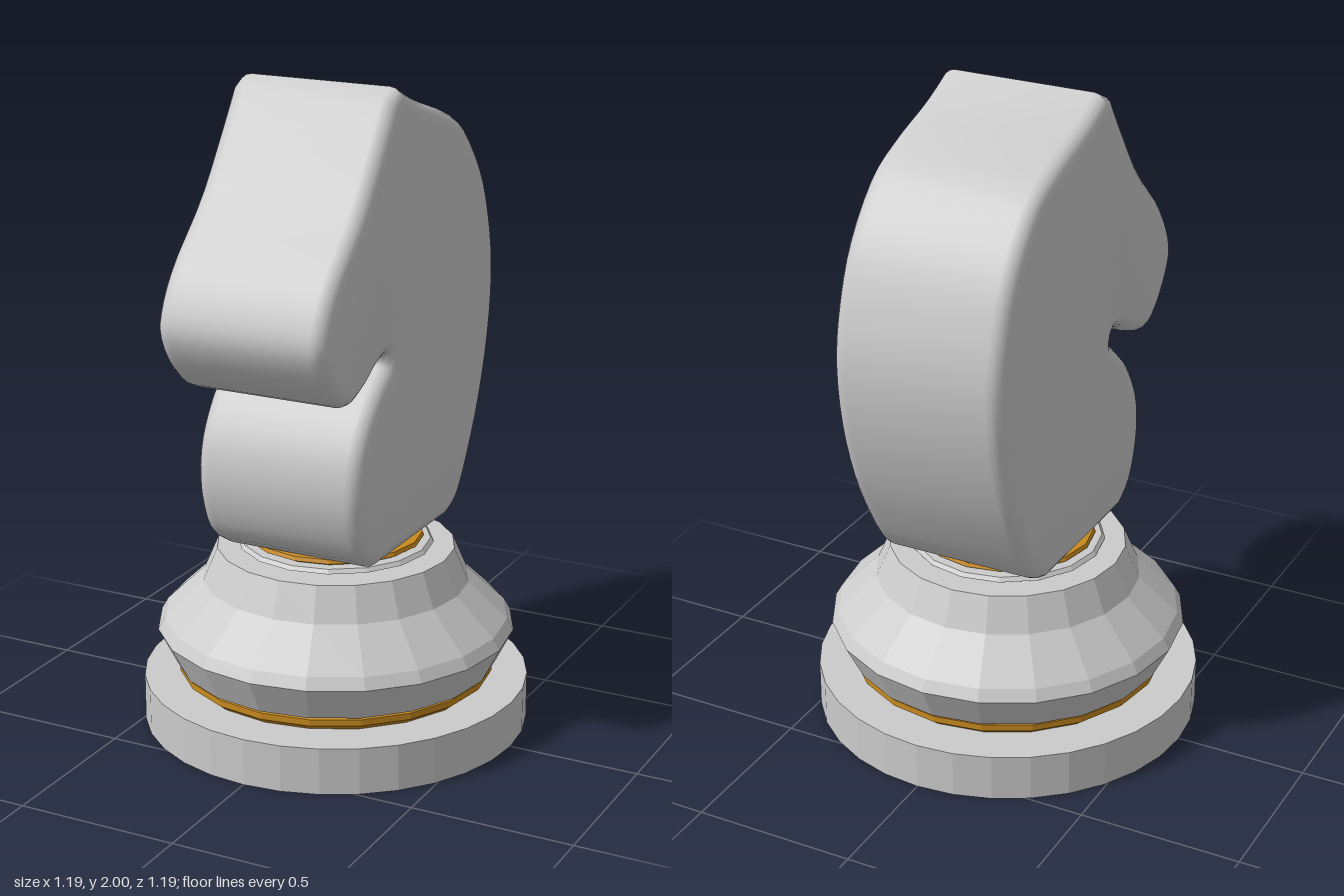
import * as THREE from 'three';
import { toCreasedNormals } from 'three/addons/utils/BufferGeometryUtils.js';

const grey = new THREE.MeshStandardMaterial({ color: 0xcccccc });
const greyFlat = new THREE.MeshStandardMaterial({ color: 0xcccccc, flatShading: true });
const gold = new THREE.MeshStandardMaterial({ color: 0xc88a1e, flatShading: true });

// Turned part from [radius, height] pairs, listed bottom to top
function turned(name, profile, sides, material) {
  const points = profile.map(([r, y]) => new THREE.Vector2(r, y));
  const mesh = new THREE.Mesh(new THREE.LatheGeometry(points, sides), material);
  mesh.name = name;
  return mesh;
}

// Horse head: side outline in (z, y), extruded across x with rounded edges
function horseHead() {
  const back = [
    [0.10, 2.0], [-0.02, 1.945], [-0.2, 1.885], [-0.34, 1.815], [-0.47, 1.665], [-0.54, 1.5],
    [-0.57, 1.33], [-0.55, 1.13], [-0.485, 0.92], [-0.39, 0.735], [-0.32, 0.64], [-0.25, 0.605],
  ];
  const chest = [
    [0.25, 0.605], [0.335, 0.67], [0.385, 0.81], [0.375, 0.95], [0.31, 1.07], [0.22, 1.16],
    [0.17, 1.2], [0.185, 1.235], [0.25, 1.215], [0.33, 1.17], [0.43, 1.145], [0.525, 1.21],
    [0.593, 1.32], [0.585, 1.41], [0.51, 1.53], [0.35, 1.69], [0.22, 1.87], [0.15, 1.975],
  ];
  const vectors = (list) => list.map(([z, y]) => new THREE.Vector2(z, y));
  const shape = new THREE.Shape();
  shape.moveTo(...back[0]);
  shape.splineThru(vectors(back.slice(1)));
  shape.lineTo(...chest[0]);
  shape.splineThru(vectors(chest.slice(1)));
  shape.closePath();

  const width = 0.535, bevel = 0.045;
  const geometry = new THREE.ExtrudeGeometry(shape, {
    depth: width - 2 * bevel, curveSegments: 3,
    bevelThickness: bevel, bevelSize: bevel, bevelOffset: -bevel, bevelSegments: 4,
  });
  geometry.translate(0, 0, bevel - width / 2);
  geometry.rotateY(-Math.PI / 2);
  const mesh = new THREE.Mesh(toCreasedNormals(geometry, 0.7), grey);
  mesh.name = 'horseHead';
  return mesh;
}

export function createModel() {
  const model = new THREE.Group();
  model.name = 'chessKnight';
  model.add(
    turned('footDisc', [[0, 0], [0.593, 0], [0.593, 0.145], [0, 0.145]], 32, greyFlat),
    turned('lowerGoldRing', [[0.46, 0.145], [0.485, 0.165], [0.485, 0.185], [0.45, 0.195]], 20, gold),
    // Flared body with a concave shoulder
    turned('pedestal', [[0, 0.195], [0.495, 0.195], [0.55, 0.305], [0.53, 0.34], [0.41, 0.455],
      [0.365, 0.56], [0, 0.56]], 20, greyFlat),
    turned('collar', [[0.27, 0.56], [0.3, 0.57], [0.29, 0.582], [0, 0.585]], 16, greyFlat),
    turned('upperGoldRing', [[0.25, 0.58], [0.27, 0.59], [0.265, 0.602], [0, 0.604]], 16, gold),
    horseHead(),
  );
  return model;
}
